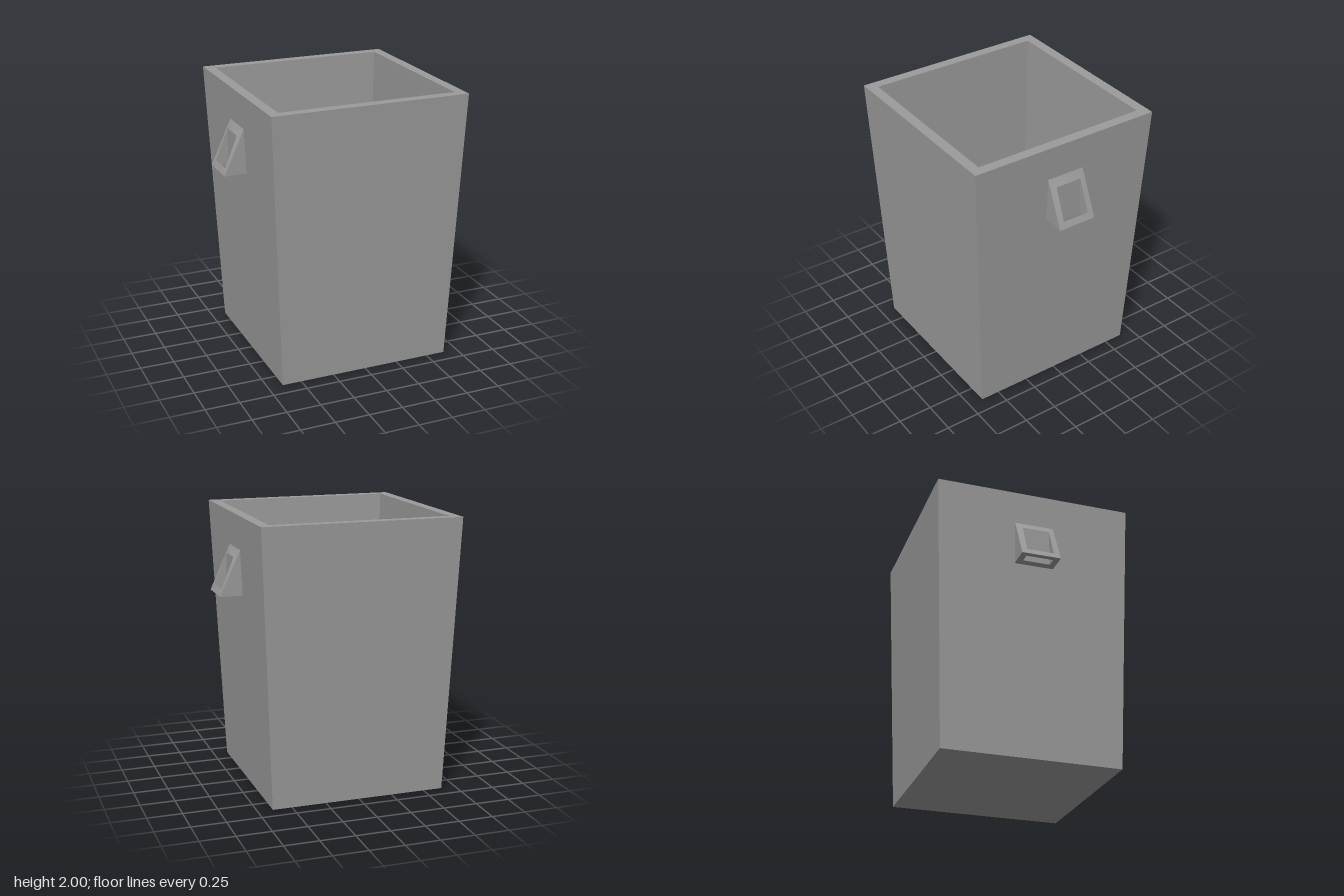
import * as THREE from 'three';
import { toCreasedNormals } from 'three/addons/utils/BufferGeometryUtils.js';

const material = new THREE.MeshStandardMaterial({ color: 0x9b9b9b });
const crease = 0.45;

// Square, tapered, hollow bin turned from a wall profile in four sides
function createBin() {
  const profile = [[0, 0], [0.641, 0], [0.721, 2], [0.647, 2], [0.58, 0.1], [0, 0.1]]
    .map(([half, y]) => new THREE.Vector2(half * Math.SQRT2, y));
  const geometry = new THREE.LatheGeometry(profile, 4, Math.PI / 4);
  const bin = new THREE.Mesh(toCreasedNormals(geometry, crease), material);
  bin.name = 'bin';
  return bin;
}

// Rectangle of four corners: inner/upper edge (x1, y1), outer/lower edge (x2, y2)
function ring(x1, y1, x2, y2, halfWidth) {
  return [[x1, y1, halfWidth], [x1, y1, -halfWidth], [x2, y2, -halfWidth], [x2, y2, halfWidth]];
}

// Wedge grip whose opening runs from the sloping face out through the underside
function createHandleGeometry() {
  const rings = [
    ring(0.711, 1.755, 0.86, 1.43, 0.143), // sloping face
    ring(0.748, 1.70, 0.84, 1.475, 0.099), // upper opening
    ring(0.752, 1.43, 0.822, 1.43, 0.099), // lower opening
    ring(0.697, 1.43, 0.86, 1.43, 0.143), // underside
  ];
  const positions = [];
  const triangle = (a, b, c) => positions.push(...a, ...b, ...c);
  for (let r = 0; r < 3; r++) {
    const [a, b] = [rings[r], rings[r + 1]];
    for (let i = 0; i < 4; i++) {
      const j = (i + 1) % 4;
      // Alternate the diagonal so both side bars mirror each other
      if (i === 3) {
        triangle(a[i], b[i], a[j]);
        triangle(a[j], b[i], b[j]);
      } else {
        triangle(a[i], b[i], b[j]);
        triangle(a[i], b[j], a[j]);
      }
    }
  }
  // Side cheeks
  const [face, under] = [rings[0], rings[3]];
  triangle(under[0], under[3], face[0]);
  triangle(under[1], face[1], under[2]);

  const geometry = new THREE.BufferGeometry();
  geometry.setAttribute('position', new THREE.Float32BufferAttribute(positions, 3));
  return toCreasedNormals(geometry, crease);
}

export function createModel() {
  const model = new THREE.Group();
  model.name = 'squareBin';
  model.add(createBin());

  // One handle on each side
  const handleGeometry = createHandleGeometry();
  ['leftHandle', 'rightHandle'].forEach((name, i) => {
    const handle = new THREE.Mesh(handleGeometry, material);
    handle.name = name;
    handle.rotation.y = i * Math.PI;
    model.add(handle);
  });
  return model;
}
